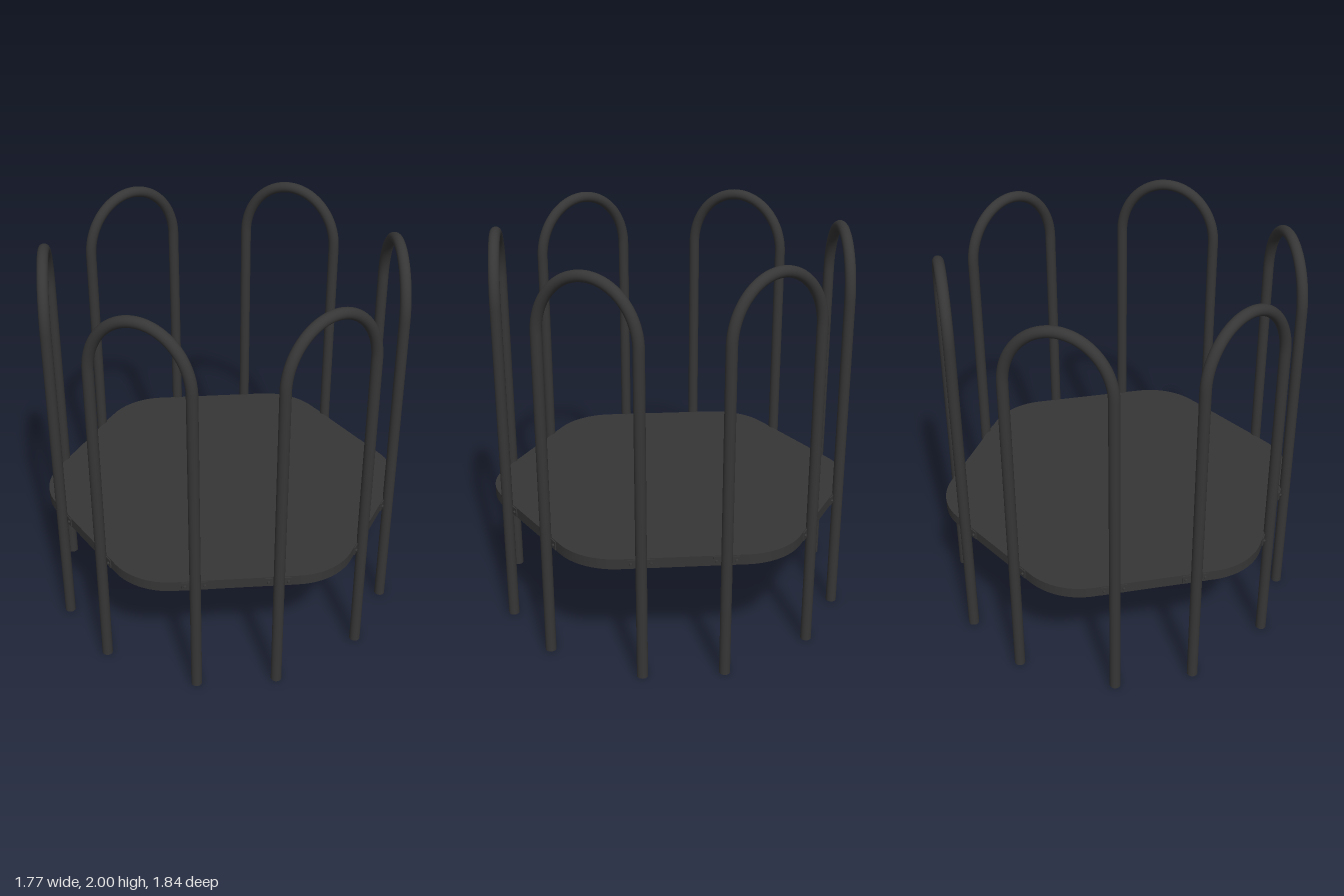
import * as THREE from 'three';
import { toCreasedNormals } from 'three/addons/utils/BufferGeometryUtils.js';

const APOTHEM = 0.84;   // platform centre to flat side
const CORNER = 0.32;    // platform corner radius
const HOOP_DIST = 0.845, HALF_SPAN = 0.257, TUBE = 0.027;
const RISE = 0.295;     // arch height, slightly taller than a half circle
const SPRING = 2 - TUBE - RISE;
const DECK_Y = 0.588, DECK_H = 0.053, SHEET = 0.006;

const material = new THREE.MeshStandardMaterial({ color: 0x363636 });

function add(parent, name, geometry, x = 0, y = 0, z = 0) {
  const mesh = new THREE.Mesh(geometry, material);
  mesh.name = name;
  mesh.position.set(x, y, z);
  parent.add(mesh);
  return mesh;
}

// Hexagon outline with generously rounded corners
function outline(path, inset) {
  const r = (APOTHEM - CORNER) / Math.cos(Math.PI / 6);
  for (let i = 0; i < 6; i++) {
    const a = Math.PI / 6 + i * Math.PI / 3;
    path.absarc(r * Math.cos(a), r * Math.sin(a), CORNER - inset, a - Math.PI / 6, a + Math.PI / 6, false);
  }
  path.closePath();
  return path;
}

function slab(shape, depth) {
  const g = new THREE.ExtrudeGeometry(shape, { depth, bevelEnabled: false, curveSegments: 12 });
  return toCreasedNormals(g.rotateX(-Math.PI / 2), 0.5);
}

// Half ellipse for the top of a hoop
class ArchCurve extends THREE.Curve {
  getPoint(t, target = new THREE.Vector3()) {
    const a = t * Math.PI;
    return target.set(HALF_SPAN * Math.cos(a), RISE * Math.sin(a), 0);
  }
}

export function createModel() {
  const model = new THREE.Group();
  model.name = 'hoopedPlatform';

  // Thin deck with a rim hanging below its edge
  const rimShape = outline(new THREE.Shape(), 0);
  rimShape.holes.push(outline(new THREE.Path(), SHEET));
  add(model, 'deck', slab(outline(new THREE.Shape(), 0), SHEET), 0, DECK_Y + DECK_H - SHEET, 0);
  add(model, 'rim', slab(rimShape, DECK_H - SHEET), 0, DECK_Y, 0);

  const leg = new THREE.CylinderGeometry(TUBE, TUBE, SPRING, 24);
  const arch = new THREE.TubeGeometry(new ArchCurve(), 40, TUBE, 24, false);
  const plate = new THREE.BoxGeometry(0.126, 0.044, 0.007);
  const screw = new THREE.CylinderGeometry(0.006, 0.008, 0.009, 12).rotateX(Math.PI / 2);

  // Six hoops, one across each platform corner
  for (let i = 0; i < 6; i++) {
    const hoop = new THREE.Group();
    hoop.name = 'hoop';
    hoop.rotation.y = i * Math.PI / 3;
    model.add(hoop);
    add(hoop, 'arch', arch, 0, SPRING, HOOP_DIST);

    for (const side of [-1, 1]) {
      add(hoop, 'leg', leg, side * HALF_SPAN, SPRING / 2, HOOP_DIST);

      // Bracket lies flat against the neighbouring platform side
      const bracket = new THREE.Group();
      bracket.name = 'bracket';
      bracket.position.set(side * HALF_SPAN, DECK_Y + DECK_H / 2, HOOP_DIST);
      bracket.rotation.y = side * Math.PI / 6;
      hoop.add(bracket);
      add(bracket, 'bracketPlate', plate, 0, 0, -0.018);
      for (const s of [-1, 1]) add(bracket, 'screw', screw, s * 0.048, 0, -0.011);
    }
  }
  return model;
}
